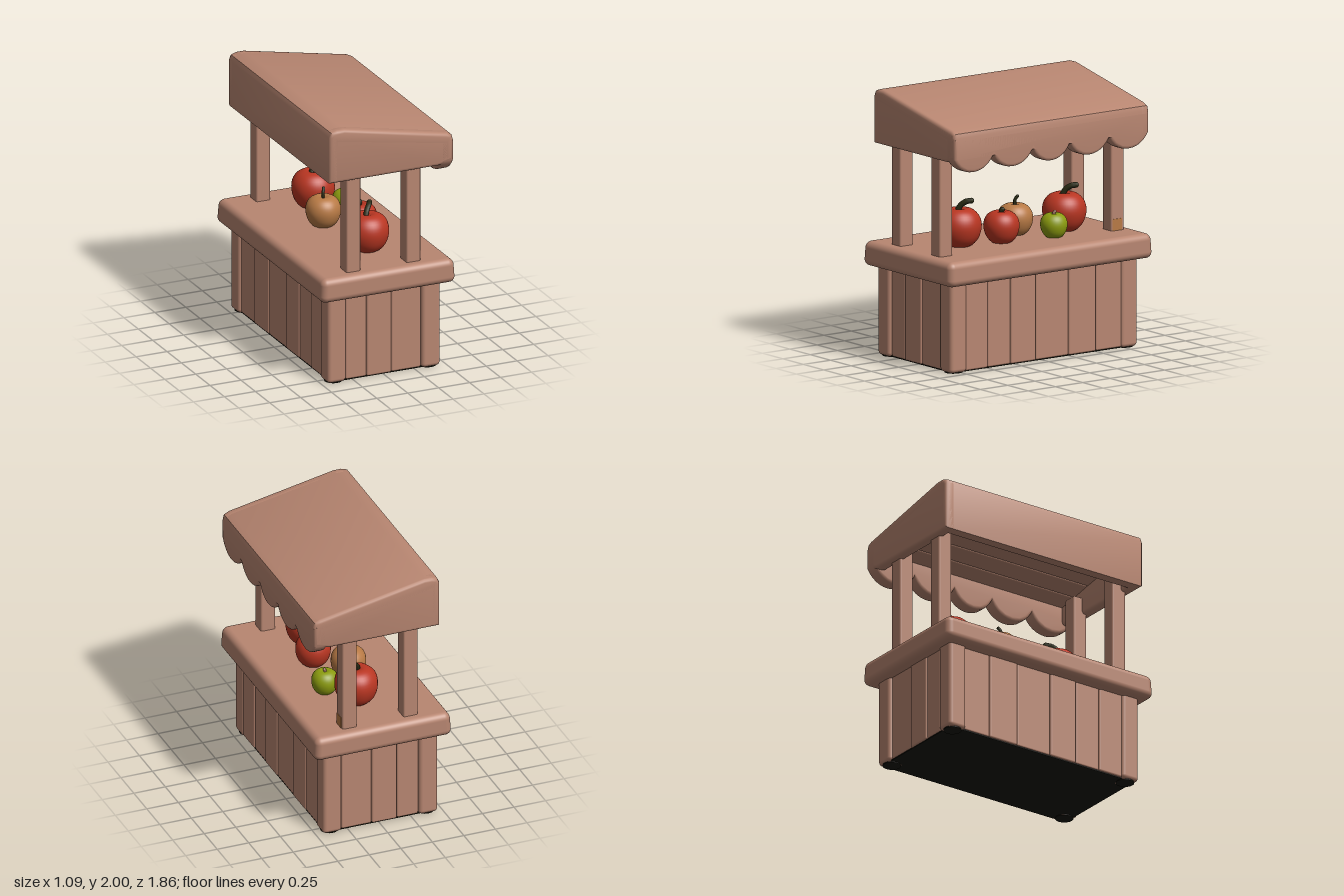
import * as THREE from 'three';
import { toCreasedNormals } from 'three/addons/utils/BufferGeometryUtils.js';
import { RoundedBoxGeometry } from 'three/addons/geometries/RoundedBoxGeometry.js';

const material = (name, color) => {
  const m = new THREE.MeshStandardMaterial({ color });
  m.name = name;
  return m;
};

export function createModel() {
  const wood = material('wood', 0xb88671);
  const dark = material('dark underside', 0x16150a);
  const red = material('red skin', 0xb93622);
  const tan = material('tan skin', 0xb87a45);
  const green = material('green skin', 0x8c9c10);
  const stemMat = material('stem', 0x2a2b14);

  const model = new THREE.Group();
  model.name = 'marketStall';

  const add = (name, geometry, mat, parent = model) => {
    const mesh = new THREE.Mesh(geometry, mat);
    mesh.name = name;
    parent.add(mesh);
    return mesh;
  };
  // Rounded block given by its min and max on each axis
  const block = (name, [x0, x1], [y0, y1], [z0, z1], r, mat = wood) => {
    const mesh = add(name, new RoundedBoxGeometry(x1 - x0, y1 - y0, z1 - z0, 3, r), mat);
    mesh.position.set((x0 + x1) / 2, (y0 + y1) / 2, (z0 + z1) / 2);
    return mesh;
  };
  // Bevelled extrusion that keeps the outline's size, centred on its depth
  const extrude = (shape, depth, bevel) => {
    const g = new THREE.ExtrudeGeometry(shape, {
      depth: depth - 2 * bevel, bevelEnabled: true, bevelSize: bevel,
      bevelThickness: bevel, bevelOffset: -bevel, bevelSegments: 3, curveSegments: 12,
    });
    g.translate(0, 0, bevel - depth / 2);
    return toCreasedNormals(g, 0.7);
  };
  const outline = (points) => new THREE.Shape(points.map(([x, y]) => new THREE.Vector2(x, y)));

  // Base: core, dark floor, corner posts and planks
  block('baseCore', [-0.41, 0.41], [0.01, 0.7], [-0.81, 0.81], 0.01);
  const floor = add('floor', new THREE.BoxGeometry(0.86, 0.008, 1.66), dark);
  floor.position.y = 0.009;
  for (const sx of [-1, 1]) {
    for (const sz of [-1, 1]) {
      const cx = sx * 0.38 - 0.005, cz = sz * 0.78;
      block('cornerPost', [cx - 0.075, cx + 0.075], [0.003, 0.7], [cz - 0.075, cz + 0.075], 0.03);
      const foot = add('footPad', new THREE.CylinderGeometry(0.068, 0.068, 0.008, 16), dark);
      foot.position.set(cx, 0.004, cz);
    }
  }
  const sideCuts = [-0.72, -0.48, -0.23, 0.07, 0.3, 0.51, 0.72];
  const endCuts = [-0.31, -0.14, 0.06, 0.3];
  for (const s of [-1, 1]) {
    const span = (outer) => [Math.min(s * outer, s * (outer - 0.06)), Math.max(s * outer, s * (outer - 0.06))];
    for (let i = 0; i < sideCuts.length - 1; i++) {
      block('sidePlank', span(0.435 + 0.006 * (i % 2)), [0.01, 0.69], [sideCuts[i], sideCuts[i + 1]], 0.014);
    }
    for (let i = 0; i < endCuts.length - 1; i++) {
      block('endPlank', [endCuts[i], endCuts[i + 1]], [0.01, 0.69], span(0.835 + 0.006 * (i % 2)), 0.014);
    }
  }

  // Counter, slightly wider at its lower edge
  const counterGeo = new RoundedBoxGeometry(1.08, 0.185, 1.86, 5, 0.05);
  const cp = counterGeo.attributes.position;
  for (let i = 0; i < cp.count; i++) {
    const flare = 1 - 0.12 * cp.getY(i);
    cp.setX(i, cp.getX(i) * flare);
    cp.setZ(i, cp.getZ(i) * (1 - 0.04 * cp.getY(i)));
  }
  add('counter', counterGeo, wood).position.y = 0.76;

  // Roof posts
  for (const sz of [-1, 1]) {
    const z = [sz * 0.785 - 0.058, sz * 0.785 + 0.058];
    block('rearRoofPost', [-0.305, -0.19], [0.82, 1.72], z, 0.014);
    block('frontRoofPost', [0.18, 0.295], [0.82, 1.72], z, 0.014);
  }
  // Small tan patch at the foot of one post
  const patch = add('postPatch', new THREE.BoxGeometry(0.006, 0.09, 0.085), tan);
  patch.position.set(0.295, 0.895, -0.778);

  // Roof: hollow sloping shell with closed ends
  const top = [[-0.46, 1.59], [-0.46, 1.95], [-0.445, 1.985], [-0.4, 2], [-0.34, 2], [0.49, 1.835], [0.53, 1.815], [0.54, 1.78]];
  const shell = [...top, [0.54, 1.62], [0.46, 1.62], [0.46, 1.74], [-0.38, 1.89], [-0.38, 1.59]];
  add('roofShell', extrude(outline(shell), 1.78, 0.025), wood);
  const endPanel = extrude(outline([...top, [0.54, 1.62], [0.42, 1.59]]), 0.09, 0.025);
  for (const s of [-1, 1]) add('roofEnd', endPanel, wood).position.z = s * 0.845;

  // Ceiling boards under the slope
  for (let i = 0; i < 5; i++) {
    const x = -0.3 + i * 0.168;
    const board = add('ceilingBoard', new RoundedBoxGeometry(0.166, 0.03, 1.64, 2, 0.01), wood);
    board.position.set(x, 1.815 - 0.178 * (x - 0.04), 0);
    board.rotation.z = -0.177;
  }

  // Scalloped valance along the counter's open side
  const scallops = new THREE.Shape();
  const cuts = [-0.89, -0.53, -0.17, 0.17, 0.53, 0.89];
  scallops.moveTo(0.89, 1.78);
  scallops.lineTo(-0.89, 1.78);
  scallops.lineTo(-0.89, 1.62);
  for (let i = 0; i < 5; i++) {
    const a = cuts[i], b = cuts[i + 1], w = (b - a) * 0.2;
    scallops.bezierCurveTo(a + w, 1.475, b - w, 1.475, b, 1.62);
  }
  const valance = extrude(scallops, 0.11, 0.022);
  valance.rotateY(Math.PI / 2);
  add('valance', valance, wood).position.x = 0.485;

  // Fruit: ribbed lathe body with a dimple, and a curved stem
  const fruit = (name, mat, x, z, radius, height, stemPath, stemRadius, stemMaterial = stemMat) => {
    const group = new THREE.Group();
    group.name = name;
    group.position.set(x, 0.845, z);
    model.add(group);
    const profile = [[0, 0.04], [0.3, 0], [0.6, 0.06], [0.87, 0.25], [1, 0.52], [0.93, 0.76], [0.7, 0.93], [0.4, 1], [0.15, 0.97], [0, 0.92]];
    const curve = new THREE.SplineCurve(profile.map(([r, y]) => new THREE.Vector2(r * radius, y * height)));
    const points = curve.getPoints(28);
    points.forEach((p) => { p.x = Math.max(p.x, 0); });
    const body = new THREE.LatheGeometry(points, 48);
    const p = body.attributes.position;
    for (let i = 0; i < p.count; i++) {
      const k = 1 + 0.015 * Math.cos(8 * Math.atan2(p.getZ(i), p.getX(i)));
      p.setX(i, p.getX(i) * k);
      p.setZ(i, p.getZ(i) * k);
    }
    add('skin', body, mat, group);
    const path = new THREE.CatmullRomCurve3(stemPath.map(([sx, sy, sz]) => new THREE.Vector3(sx, height + sy, sz)));
    add('stem', new THREE.TubeGeometry(path, 8, stemRadius, 8), stemMaterial, group);
    const tip = add('stemTip', new THREE.SphereGeometry(stemRadius, 8, 6), stemMaterial, group);
    tip.position.copy(path.getPoint(1));
    tip.scale.setScalar(1.03);
  };
  const hooked = [[-0.02, -0.03, 0.01], [0, 0.02, -0.01], [0.03, 0.05, -0.04], [0.05, 0.055, -0.07]];
  const straight = [[0, -0.03, 0], [0, 0.03, 0], [0.01, 0.055, -0.015]];
  const stub = [[0, -0.03, 0], [0, 0, 0], [0.005, 0.012, -0.005]];
  fruit('largeRedFruitFront', red, 0.035, 0.47, 0.162, 0.287, hooked, 0.021);
  fruit('largeRedFruitBack', red, 0.04, -0.485, 0.162, 0.287, hooked, 0.021);
  fruit('smallRedFruit', red, 0.12, 0.15, 0.132, 0.24, stub, 0.018);
  fruit('tanFruit', tan, -0.055, -0.105, 0.132, 0.235, straight, 0.012);
  fruit('greenFruit', green, 0.2, -0.27, 0.1, 0.185, stub, 0.012, wood);

  return model;
}
